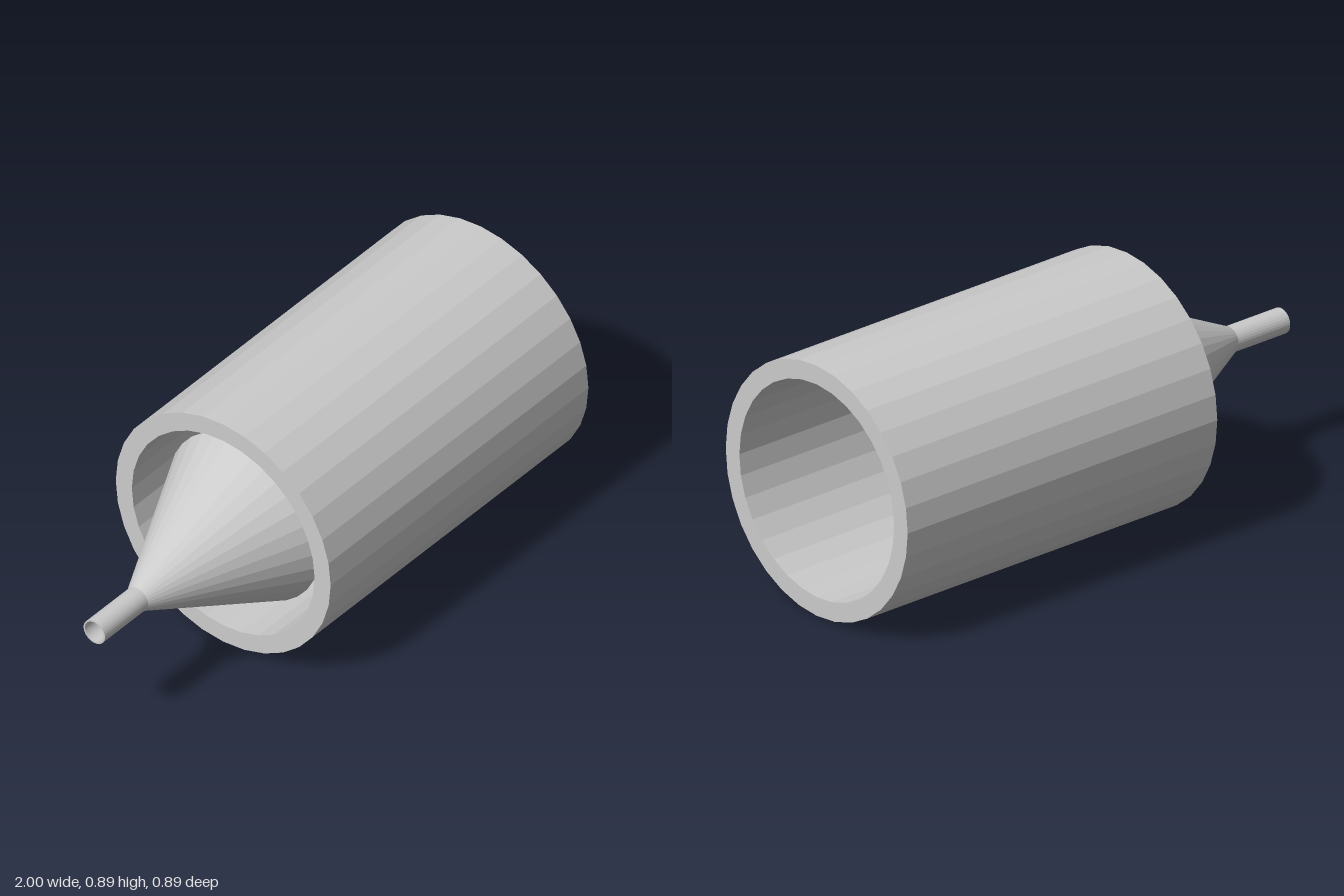
import * as THREE from 'three';

const SIDES = 32;
const AXIS_HEIGHT = 0.4444;

export function createModel() {
  const model = new THREE.Group();
  const material = new THREE.MeshStandardMaterial({ color: 0xcccccc, flatShading: true });

  // Turns a closed [radius, x] outline around the horizontal axis
  function turned(name, outline) {
    const points = [...outline, outline[0]].map(([r, x]) => new THREE.Vector2(r, x));
    const geometry = new THREE.LatheGeometry(points, SIDES);
    geometry.rotateZ(-Math.PI / 2);
    const mesh = new THREE.Mesh(geometry, material);
    mesh.name = name;
    mesh.position.y = AXIS_HEIGHT;
    model.add(mesh);
  }

  // Thick-walled open sleeve
  turned('outerSleeve', [
    [0.4444, -0.3333], [0.4444, 1], [0.3778, 1], [0.3778, -0.3333],
  ]);

  // Tapered nozzle with a narrow bore, its base set inside the sleeve
  turned('nozzle', [
    [0.0444, -1], [0.0444, -0.7778], [0.3111, -0.2222], [0.0385, -0.2222], [0.0385, -1],
  ]);

  return model;
}
